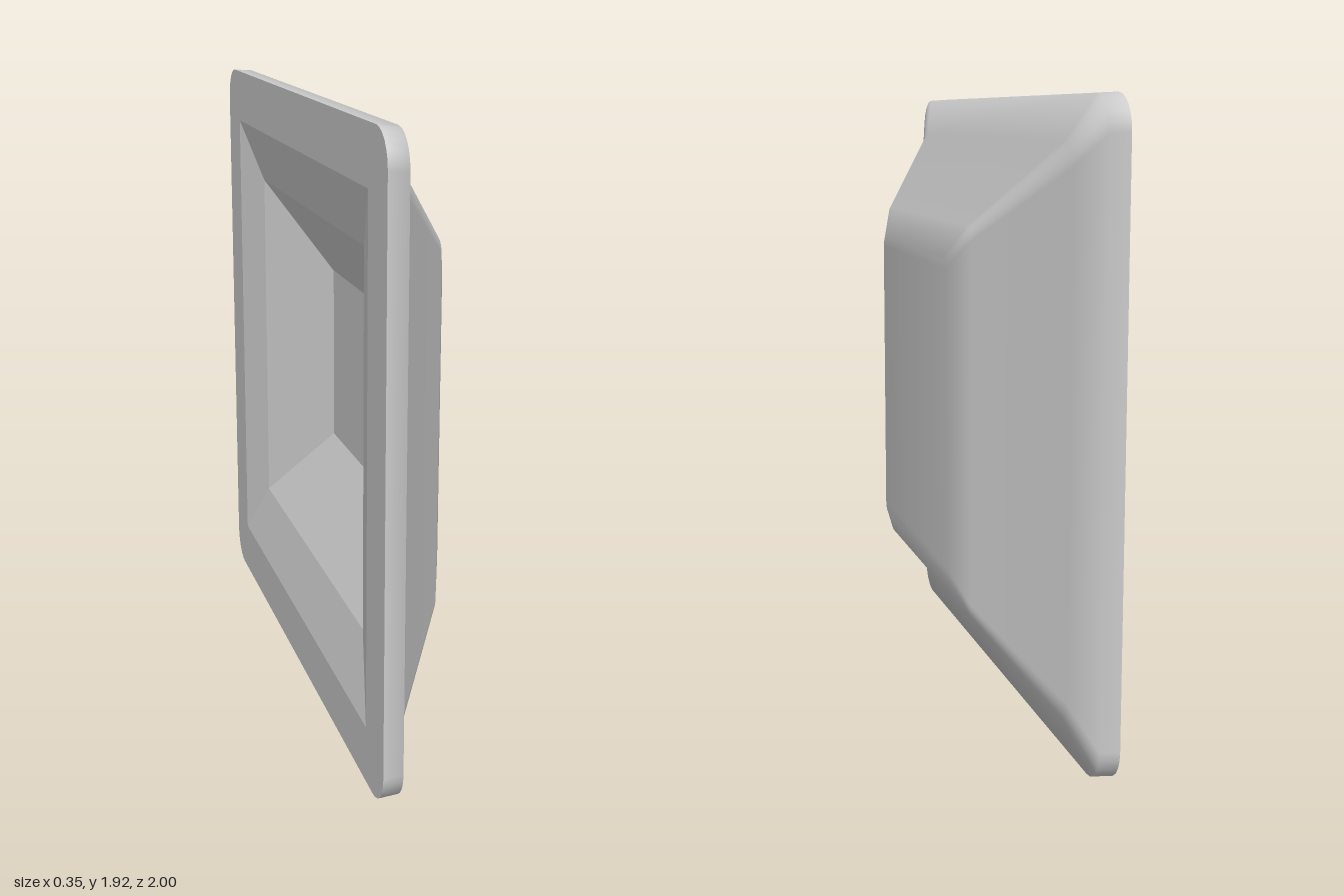
import * as THREE from 'three';

const CORNER_STEPS = 6;
const CENTRE_Y = 0.96;

// Rounded-rectangle loop in the yz plane, counter-clockwise seen from +x.
// y and z are half sizes, r the corner radius, dz a sideways shift,
// tilt the angle of the surface normal away from +x in degrees.
function addRing({ x, y, z, r, dz = 0, tilt = 0 }, pos, nor) {
  const t = THREE.MathUtils.degToRad(tilt);
  [[1, 1], [-1, 1], [-1, -1], [1, -1]].forEach(([sy, sz], q) => {
    for (let i = 0; i <= CORNER_STEPS; i++) {
      const a = (q + i / CORNER_STEPS) * Math.PI / 2;
      const c = Math.cos(a), s = Math.sin(a);
      pos.push(x, CENTRE_Y + sy * (y - r) + r * c, dz + sz * (z - r) + r * s);
      nor.push(Math.cos(t), Math.sin(t) * c, Math.sin(t) * s);
    }
  });
}

// Skin a list of loops and close the last one with a flat strip
function loft(sections, inward) {
  const pos = [], nor = [], index = [];
  sections.forEach((s) => addRing(s, pos, nor));
  const n = 4 * (CORNER_STEPS + 1);
  const quad = (a, b, c, d) => (inward ? index.push(a, c, b, a, d, c) : index.push(a, b, c, a, c, d));
  for (let i = 0; i < sections.length - 1; i++) {
    for (let j = 0; j < n; j++) {
      const a = i * n + j, b = i * n + (j + 1) % n;
      quad(a, b, b + n, a + n);
    }
  }
  const last = (sections.length - 1) * n;
  for (let j = 0; j < n / 2 - 1; j++) {
    quad(last + j, last + j + 1, last + n - 2 - j, last + n - 1 - j);
  }
  const g = new THREE.BufferGeometry();
  g.setAttribute('position', new THREE.Float32BufferAttribute(pos, 3));
  g.setAttribute('normal', new THREE.Float32BufferAttribute(nor, 3));
  g.setIndex(index);
  return g;
}

export function createModel() {
  const group = new THREE.Group();
  group.name = 'squareStud';
  const material = new THREE.MeshStandardMaterial({ color: 0xcccccc });
  const add = (name, geometry) => {
    const mesh = new THREE.Mesh(geometry, material);
    mesh.name = name;
    group.add(mesh);
  };

  // Smooth raised face with a rounded rim
  add('raisedFace', loft([
    { x: -0.175, y: 0.96, z: 1.0, r: 0.105, tilt: 90 },
    { x: -0.115, y: 0.956, z: 0.998, r: 0.105, tilt: 54 },
    { x: -0.07, y: 0.83, z: 0.84, r: 0.07, tilt: 27 },
    { x: 0.13, y: 0.585, z: 0.54, r: 0.04, tilt: 29 },
    { x: 0.175, y: 0.485, z: 0.42, r: 0.03, tilt: 5 },
  ], false));

  // Flat back rim and the faceted hollow behind the face
  const hollow = loft([
    { x: -0.175, y: 0.96, z: 1.0, r: 0.105 },
    { x: -0.175, y: 0.785, z: 0.825, r: 0.002 },
    { x: -0.118, y: 0.587, z: 0.64, r: 0.002, dz: -0.047 },
    { x: 0.067, y: 0.3, z: 0.354, r: 0.002, dz: -0.069 },
  ], true).toNonIndexed();
  hollow.computeVertexNormals();
  add('backHollow', hollow);

  return group;
}
